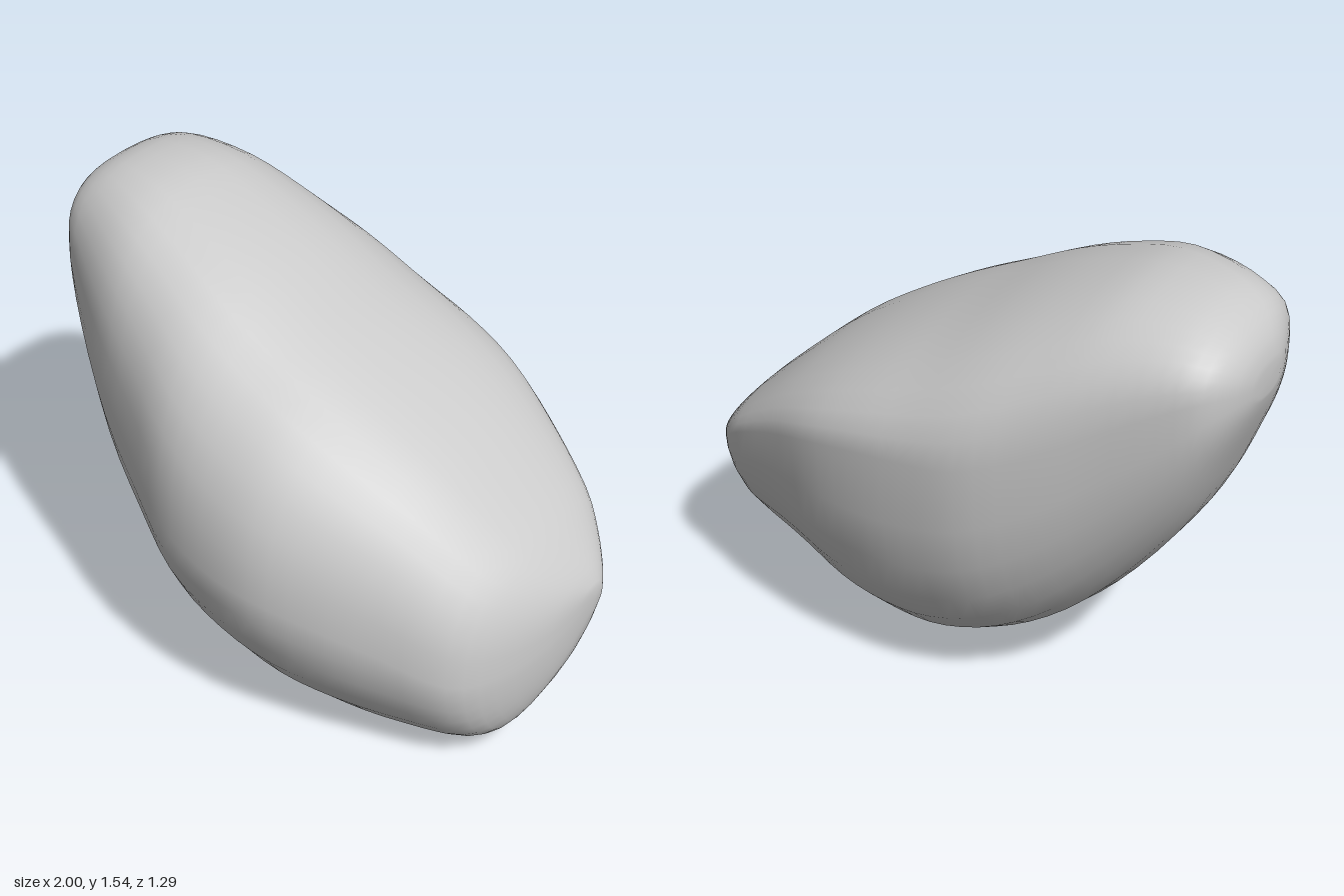
import * as THREE from 'three';

// Cross-sections along x: [x, top y, z, front z, y, bottom y, z, back z, y]
const sections = [
  [-1.00, 1.34, -0.16, -0.08, 1.31, 1.25, -0.16, -0.25, 1.30],
  [-0.98, 1.41, -0.16, 0.01, 1.30, 1.18, -0.14, -0.35, 1.32],
  [-0.92, 1.48, -0.14, 0.15, 1.27, 1.03, -0.12, -0.45, 1.33],
  [-0.80, 1.53, -0.11, 0.25, 1.12, 0.77, -0.08, -0.50, 1.28],
  [-0.60, 1.535, -0.07, 0.38, 0.94, 0.49, -0.04, -0.55, 1.17],
  [-0.40, 1.48, -0.03, 0.48, 0.80, 0.28, 0.00, -0.60, 1.06],
  [-0.20, 1.40, 0.01, 0.58, 0.68, 0.14, 0.04, -0.64, 0.98],
  [0.00, 1.30, 0.04, 0.63, 0.62, 0.05, 0.08, -0.635, 0.95],
  [0.20, 1.20, 0.05, 0.64, 0.59, 0.01, 0.12, -0.61, 0.92],
  [0.40, 1.09, 0.05, 0.59, 0.54, 0.00, 0.15, -0.56, 0.87],
  [0.60, 0.96, 0.04, 0.51, 0.47, 0.02, 0.18, -0.47, 0.79],
  [0.80, 0.79, 0.00, 0.42, 0.39, 0.07, 0.20, -0.37, 0.68],
  [0.90, 0.69, -0.04, 0.29, 0.39, 0.14, 0.15, -0.29, 0.60],
  [0.97, 0.60, -0.10, 0.10, 0.43, 0.29, 0.02, -0.21, 0.54],
  [1.00, 0.54, -0.12, -0.08, 0.50, 0.46, -0.11, -0.16, 0.51],
];
const STEPS = 8; // points per quarter of a section
const RING = STEPS * 4;
const SPLITS = 3; // smooth in-between sections

// Smoothly interpolated section, t counted in rows
function sectionAt(t) {
  const last = sections.length - 1;
  const i = Math.min(Math.floor(t), last - 1);
  const u = t - i;
  const p = sections[Math.max(i - 1, 0)], a = sections[i];
  const b = sections[i + 1], n = sections[Math.min(i + 2, last)];
  return a.map((v, k) => {
    const m0 = (b[k] - p[k]) / 2, m1 = (n[k] - v) / 2;
    return v + u * (m0 + u * (3 * (b[k] - v) - 2 * m0 - m1 + u * (2 * (v - b[k]) + m0 + m1)));
  });
}

// Squareness of the four quarters: crisp shoulders at the ends, flat lower back
function roundnessAt(x) {
  const { smoothstep } = THREE.MathUtils;
  const left = smoothstep(-x, -0.1, 0.7);
  const right = smoothstep(x, 0, 0.8);
  return [
    2.15 + 0.5 * left + 0.25 * right,
    1.82 + 0.6 * left,
    2.45 - 0.6 * right,
    2.15 + 0.25 * left + 0.25 * right,
  ];
}

// Four rounded quarters joining the top, front, bottom and back of a section
function ringPoints([x, ty, tz, fz, fy, by, bz, kz, ky]) {
  const ends = [[ty, tz], [fy, fz], [by, bz], [ky, kz]];
  const roundness = roundnessAt(x);
  const points = [];
  for (let q = 0; q < 4; q++) {
    const [y0, z0] = ends[q];
    const [y1, z1] = ends[(q + 1) % 4];
    for (let s = 0; s < STEPS; s++) {
      const a = (s / STEPS) * Math.PI / 2;
      const c = Math.cos(a) ** (2 / roundness[q]);
      const d = Math.sin(a) ** (2 / roundness[q]);
      // the corner of each quarter alternates between z and y extremes
      points.push(q % 2 === 0
        ? [x, y1 + (y0 - y1) * c, z0 + (z1 - z0) * d]
        : [x, y0 + (y1 - y0) * d, z1 + (z0 - z1) * c]);
    }
  }
  return points;
}

function boulderGeometry() {
  const positions = [];
  const index = [];
  const last = (sections.length - 1) * SPLITS;
  for (let i = 0; i <= last; i++) {
    positions.push(...ringPoints(sectionAt(i / SPLITS)).flat());
  }

  // skin between neighbouring sections
  for (let i = 0; i < last; i++) {
    for (let j = 0; j < RING; j++) {
      const a = i * RING + j, b = i * RING + (j + 1) % RING;
      const c = a + RING, d = b + RING;
      index.push(a, b, c, b, d, c);
    }
  }

  // blunt end caps
  const centre = (last + 1) * RING;
  for (const s of [sections[0], sections[sections.length - 1]]) {
    positions.push(s[0], (s[1] + s[5]) / 2, (s[3] + s[7]) / 2);
  }
  for (let j = 0; j < RING; j++) {
    const k = (j + 1) % RING;
    index.push(centre, k, j);
    index.push(centre + 1, last * RING + j, last * RING + k);
  }

  const geometry = new THREE.BufferGeometry();
  geometry.setAttribute('position', new THREE.Float32BufferAttribute(positions, 3));
  geometry.setIndex(index);
  geometry.computeVertexNormals();
  return geometry;
}

export function createModel() {
  const group = new THREE.Group();
  group.name = 'rock';
  const boulder = new THREE.Mesh(
    boulderGeometry(),
    new THREE.MeshStandardMaterial({ color: 0xcccccc }),
  );
  boulder.name = 'boulder';
  group.add(boulder);
  return group;
}
